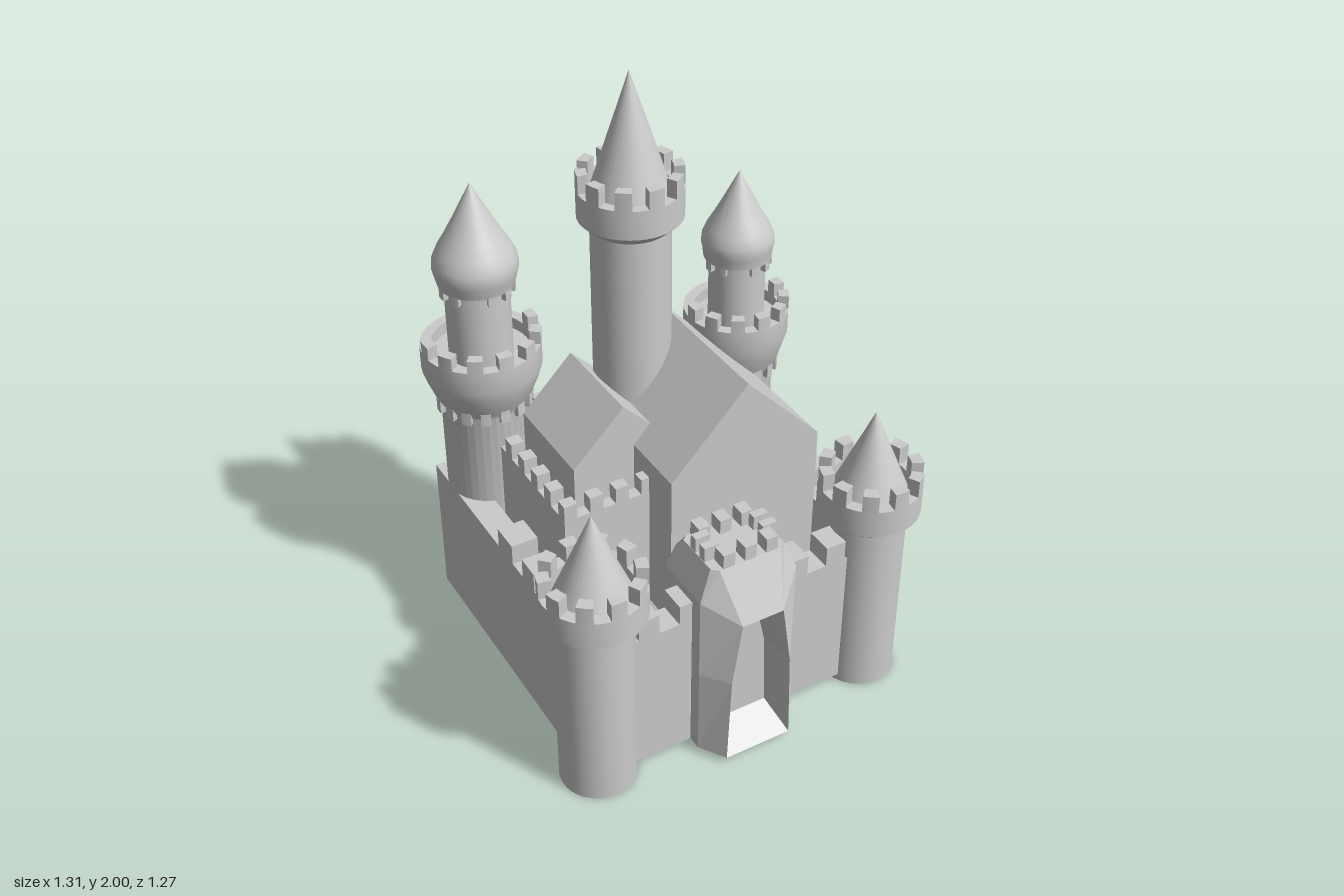
import * as THREE from 'three';
import { toCreasedNormals } from 'three/addons/utils/BufferGeometryUtils.js';

const stone = new THREE.MeshStandardMaterial({ color: 0xcccccc });
const stoneBoth = new THREE.MeshStandardMaterial({ color: 0xcccccc, side: THREE.DoubleSide });

function add(parent, name, geometry, material = stone) {
  const mesh = new THREE.Mesh(geometry, material);
  mesh.name = name;
  parent.add(mesh);
  return mesh;
}

// Box given by its limits
function block(parent, name, x0, x1, y0, y1, z0, z1) {
  const mesh = add(parent, name, new THREE.BoxGeometry(x1 - x0, y1 - y0, z1 - z0));
  mesh.position.set((x0 + x1) / 2, (y0 + y1) / 2, (z0 + z1) / 2);
}

// Solid of revolution from [radius, height] pairs, listed bottom to top
function turned(parent, name, profile) {
  const points = profile.map(([r, y]) => new THREE.Vector2(r, y));
  add(parent, name, toCreasedNormals(new THREE.LatheGeometry(points, 36), 0.55));
}

// Ring of curved teeth; angles run from +x, with PI to 2 PI facing the front
function teeth(parent, name, r0, r1, y0, y1, count, from = 0, to = Math.PI * 2) {
  const step = (to - from) / count;
  for (let i = 0; i < count; i++) {
    const a = from + (i + 0.25) * step, b = a + step * 0.5;
    const s = new THREE.Shape();
    s.absarc(0, 0, r1, a, b, false);
    s.absarc(0, 0, r0, b, a, true);
    const g = new THREE.ExtrudeGeometry(s, { depth: y1 - y0, bevelEnabled: false, curveSegments: 4 });
    g.rotateX(-Math.PI / 2).translate(0, y0, 0);
    add(parent, name, g);
  }
}

// Round tower with a battlemented crown and a cone roof
function coneTower(root, name, x, z, base, body, crown, y, coneR, coneBase, tip) {
  const g = new THREE.Group();
  g.name = name;
  g.position.set(x, 0, z);
  root.add(g);
  const rim = y + 0.13;
  turned(g, 'towerBody', [[0, base], [body, base], [body, y], [crown, y + 0.035], [crown, rim],
    [coneR, rim], [coneR, coneBase], [0, coneBase]]);
  teeth(g, 'towerMerlon', coneR, crown, rim, rim + 0.06, 10);
  turned(g, 'coneRoof', [[coneR, coneBase], [0, tip]]);
}

// Tower with a flared gallery, a slim upper stage and an onion roof
function onionTower(root, name, x, z, base, body, flare, upper, onion, rim, onionBase, tip) {
  const g = new THREE.Group();
  g.name = name;
  g.position.set(x, 0, z);
  root.add(g);
  turned(g, 'towerBody', [[0, base], [body, base], [body, rim - 0.21], [body + 0.018, rim - 0.18],
    [flare - 0.012, rim - 0.12], [flare, rim - 0.08], [flare, rim], [flare - 0.035, rim],
    [flare - 0.035, rim - 0.04], [upper, rim - 0.04], [upper, onionBase + 0.02]]);
  teeth(g, 'galleryMerlon', flare - 0.035, flare, rim, rim + 0.045, 7, Math.PI * 0.92, Math.PI * 2.08);
  teeth(g, 'galleryCorbel', body - 0.02, body + 0.018, rim - 0.225, rim - 0.18, 9, Math.PI * 0.92, Math.PI * 2.08);
  teeth(g, 'roofCorbel', upper - 0.02, upper + 0.018, onionBase - 0.03, onionBase + 0.015, 7, Math.PI * 0.92, Math.PI * 2.08);
  const h = tip - onionBase;
  turned(g, 'onionRoof', [[0, onionBase], [upper + 0.018, onionBase], [onion * 0.96, onionBase + h * 0.1],
    [onion, onionBase + h * 0.17], [onion * 0.98, onionBase + h * 0.25], [onion * 0.86, onionBase + h * 0.36],
    [onion * 0.68, onionBase + h * 0.48], [onion * 0.49, onionBase + h * 0.62], [0, tip]]);
}

// Gabled hall
function hall(root, name, x0, x1, z0, z1, base, eaves, ridge) {
  const s = new THREE.Shape([[x0, base], [x1, base], [x1, eaves], [(x0 + x1) / 2, ridge], [x0, eaves]]
    .map(([x, y]) => new THREE.Vector2(x, y)));
  const g = new THREE.ExtrudeGeometry(s, { depth: z1 - z0, bevelEnabled: false });
  add(root, name, g.translate(0, 0, z0));
}

// Faceted surface from four-cornered faces
function quads(faces) {
  const p = [];
  for (const [a, b, c, d] of faces) p.push(...a, ...b, ...c, ...a, ...c, ...d);
  const g = new THREE.BufferGeometry();
  g.setAttribute('position', new THREE.Float32BufferAttribute(p, 3));
  g.computeVertexNormals();
  return g;
}

function gatehouse(root) {
  const g = new THREE.Group();
  g.name = 'gatehouse';
  g.position.x = -0.017;
  root.add(g);
  // Octagonal plan; f is the half width of the front opening
  const ring = (y, yf, f) => [[f, yf, 0.63], [0.17, y, 0.545], [0.17, y, 0.34], [0.093, y, 0.275],
    [-0.093, y, 0.275], [-0.17, y, 0.34], [-0.17, y, 0.545], [-f, yf, 0.63]];
  const w = 0.128, t = 0.735;
  const rings = [ring(0.025, 0.025, 0.115), ring(0.34, 0.34, 0.105), ring(0.63, 0.56, 0.072),
    [[w - 0.02, t, 0.55], [w, t, 0.53], [w, t, 0.375], [w - 0.02, t, 0.36],
      [0.02 - w, t, 0.36], [-w, t, 0.375], [-w, t, 0.53], [0.02 - w, t, 0.55]]];
  const faces = [];
  for (let k = 0; k < 3; k++) {
    for (let i = 0; i < 8; i++) {
      if (i === 7 && k < 2) continue; // portal opening
      const j = (i + 1) % 8;
      faces.push([rings[k][i], rings[k][j], rings[k + 1][j], rings[k + 1][i]]);
    }
  }
  for (const r of [rings[0], rings[3]]) {
    faces.push([r[0], r[1], r[6], r[7]], [r[1], r[2], r[5], r[6]], [r[2], r[3], r[4], r[5]]);
  }
  add(g, 'gatehouseBody', quads(faces), stoneBoth);

  // Splayed portal recess and its back panel
  const outer = [[0.115, 0.025, 0.63], [0.105, 0.34, 0.63], [0.072, 0.56, 0.63],
    [-0.072, 0.56, 0.63], [-0.105, 0.34, 0.63], [-0.115, 0.025, 0.63]];
  const inner = [[0.085, 0.1], [0.075, 0.36], [0.042, 0.51], [-0.042, 0.51], [-0.075, 0.36], [-0.085, 0.1]]
    .map(([x, y]) => [x, y, 0.53]);
  const portal = outer.map((o, i) => [o, outer[(i + 1) % 6], inner[(i + 1) % 6], inner[i]]);
  portal.push([inner[0], inner[1], inner[4], inner[5]], [inner[1], inner[2], inner[3], inner[4]]);
  add(g, 'portal', quads(portal), stoneBoth);

  // Parapet merlons
  for (const s of [-1, 1]) {
    for (const x of [-0.075, 0, 0.075]) {
      const z = s > 0 ? 0.525 : 0.385;
      block(g, 'gateMerlon', x - 0.02, x + 0.02, t - 0.02, 0.785, z - 0.025, z + 0.025);
    }
    for (const z of [0.43, 0.48]) {
      block(g, 'gateMerlon', s * 0.102 - 0.025, s * 0.102 + 0.025, t - 0.02, 0.785, z - 0.014, z + 0.014);
    }
  }
}

export function createModel() {
  const root = new THREE.Group();
  root.name = 'castle';

  // Outer walls
  const y0 = 0.025, y1 = 0.53, y2 = 0.6;
  block(root, 'backWall', -0.54, 0.545, y0, y1, -0.585, -0.5);
  block(root, 'frontWall', -0.54, 0.545, y0, y1, 0.41, 0.5);
  for (const [a, b] of [[0.455, 0.545], [0.235, 0.335]]) block(root, 'backMerlon', a, b, y1, y2, -0.585, -0.5);
  for (const s of [-1, 1]) {
    const a = s > 0 ? 0.455 : -0.54, b = s > 0 ? 0.545 : -0.45;
    block(root, 'sideWall', a, b, y0, y1, -0.5, 0.41);
    for (const [p, q] of [[0.23, 0.33], [0.07, 0.15], [-0.1, 0.0]]) block(root, 'sideMerlon', a, b, y1, y2, p, q);
    for (const x of [0.195, 0.335]) block(root, 'frontMerlon', s * x - 0.035, s * x + 0.035, y1, y2, 0.41, 0.5);
  }

  // Inner walls
  const h = 0.745, m = 0.8;
  block(root, 'innerWallLeft', 0.11, 0.155, y0, h, -0.4, 0.095);
  block(root, 'innerWallRight', -0.42, -0.375, y0, h, -0.4, 0.095);
  for (const [a, b] of [[-0.445, -0.4], [0.095, 0.135]]) {
    block(root, 'innerWall', -0.42, 0.155, y0, h, a, b);
    for (let x = -0.42; x < 0.15; x += 0.089) block(root, 'innerMerlon', x, x + 0.045, h, m, a, b);
  }
  for (let z = -0.36; z < 0.08; z += 0.09) {
    block(root, 'innerMerlon', -0.42, -0.375, h, m, z, z + 0.045);
    block(root, 'innerMerlon', 0.11, 0.155, h, m, z, z + 0.045);
  }

  // Halls
  hall(root, 'greatHall', -0.125, 0.405, -0.26, 0.27, 0.3, 0.865, 1.14);
  hall(root, 'smallHall', -0.335, 0.015, -0.305, 0.04, 0.3, 0.845, 1.02);

  // Towers
  for (const s of [-1, 1]) coneTower(root, 'frontTower', s * 0.49, 0.445, 0, 0.123, 0.164, 0.63, 0.125, 0.72, 1.02);
  coneTower(root, 'keepTower', 0, -0.19, 0.3, 0.125, 0.164, 1.5, 0.13, 1.6, 2);
  onionTower(root, 'backRightTower', -0.405, -0.445, 0.18, 0.14, 0.193, 0.103, 0.135, 1.07, 1.29, 1.63);
  onionTower(root, 'backLeftTower', 0.415, -0.235, 0.3, 0.125, 0.172, 0.092, 0.118, 1.055, 1.25, 1.55);

  gatehouse(root);
  return root;
}
